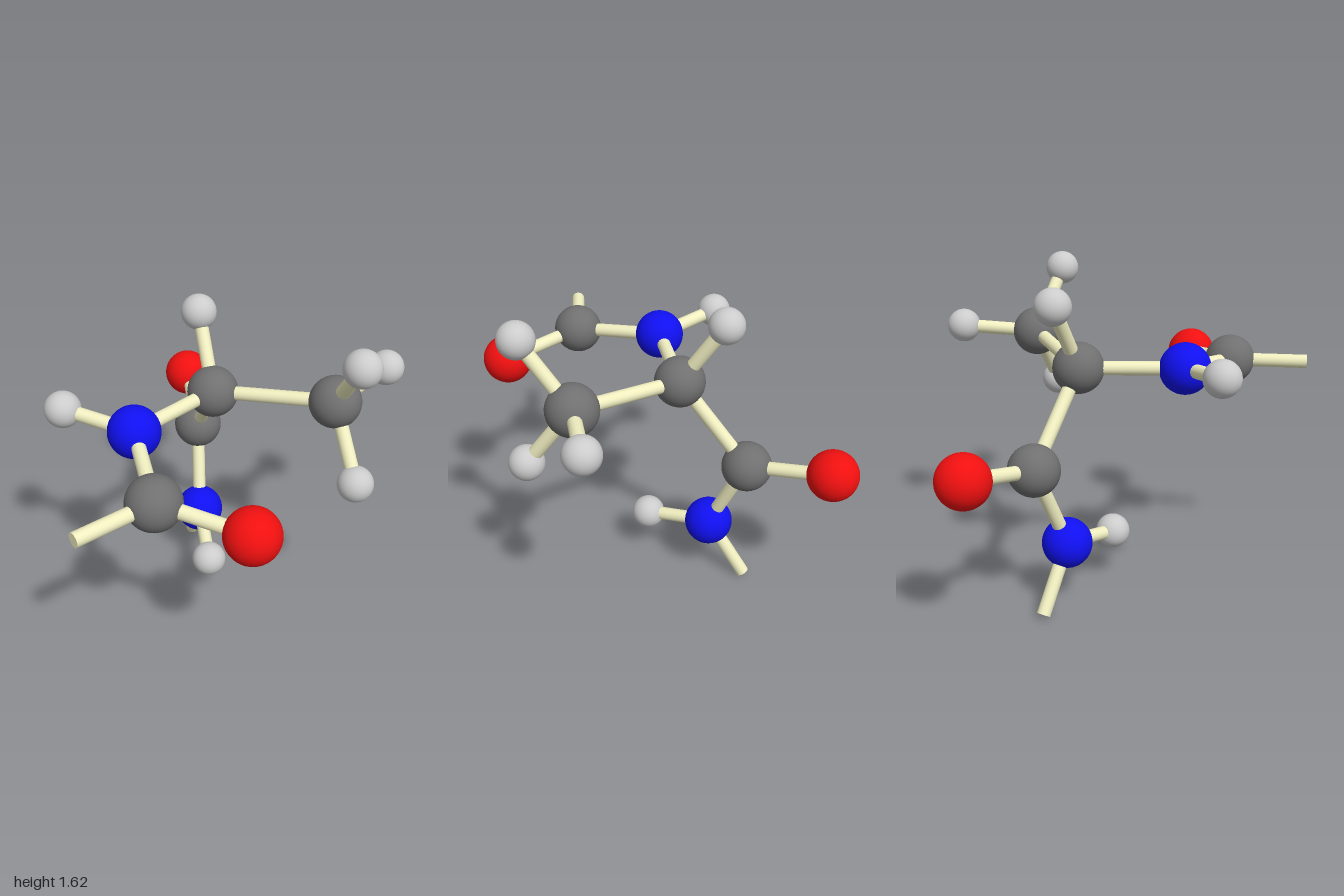
import * as THREE from 'three';

const BOND_RADIUS = 0.034;

// element: [sphere radius, colour]
const ELEMENTS = {
  carbon: [0.125, 0x707070],
  nitrogen: [0.124, 0x1010f0],
  oxygen: [0.125, 0xf01010],
  hydrogen: [0.087, 0xbfbfbf],
};

// name: [element, x, y, z]
const ATOMS = {
  centralCarbon: ['carbon', -0.08, 1.163, -0.1],
  centralHydrogen: ['hydrogen', -0.14, 1.488, -0.308],
  methylCarbon: ['carbon', 0.487, 1.222, 0.113],
  methylHydrogenTop: ['hydrogen', 0.551, 1.529, 0.35],
  methylHydrogenSide: ['hydrogen', 0.773, 1.246, -0.157],
  methylHydrogenBottom: ['hydrogen', 0.573, 0.906, 0.333],
  upperNitrogen: ['nitrogen', -0.444, 1.168, 0.251],
  upperHydrogen: ['hydrogen', -0.778, 1.21, 0.114],
  upperCarbon: ['carbon', -0.342, 1.119, 0.713],
  upperOxygen: ['oxygen', 0.06, 1.065, 0.874],
  lowerCarbon: ['carbon', -0.159, 0.752, -0.447],
  lowerOxygen: ['oxygen', -0.214, 0.829, -0.874],
  lowerNitrogen: ['nitrogen', -0.159, 0.323, -0.246],
  lowerHydrogen: ['hydrogen', -0.115, 0.262, 0.107],
};

const BONDS = [
  ['centralCarbon', 'centralHydrogen'],
  ['centralCarbon', 'methylCarbon'],
  ['methylCarbon', 'methylHydrogenTop'],
  ['methylCarbon', 'methylHydrogenSide'],
  ['methylCarbon', 'methylHydrogenBottom'],
  ['centralCarbon', 'upperNitrogen'],
  ['upperNitrogen', 'upperHydrogen'],
  ['upperNitrogen', 'upperCarbon'],
  ['upperCarbon', 'upperOxygen'],
  ['centralCarbon', 'lowerCarbon'],
  ['lowerCarbon', 'lowerOxygen'],
  ['lowerCarbon', 'lowerNitrogen'],
  ['lowerNitrogen', 'lowerHydrogen'],
];

// open bonds that end in the air
const STUBS = [
  ['upperCarbon', [-0.65, 1.124, 0.944]],
  ['lowerNitrogen', [-0.208, 0.019, -0.443]],
];

export function createModel() {
  const model = new THREE.Group();
  const bondMaterial = new THREE.MeshStandardMaterial({ color: 0xf0eec0 });
  const spheres = {};
  for (const [element, [radius, color]] of Object.entries(ELEMENTS)) {
    spheres[element] = {
      geometry: new THREE.SphereGeometry(radius, 40, 24),
      material: new THREE.MeshStandardMaterial({ color }),
    };
  }
  const positionOf = (name) => new THREE.Vector3(...ATOMS[name].slice(1));

  // capped cylinder between two points
  function addBond(name, from, to) {
    const direction = to.clone().sub(from);
    const length = direction.length();
    const bond = new THREE.Mesh(
      new THREE.CylinderGeometry(BOND_RADIUS, BOND_RADIUS, length, 24), bondMaterial);
    bond.position.copy(from).add(to).multiplyScalar(0.5);
    bond.quaternion.setFromUnitVectors(new THREE.Vector3(0, 1, 0), direction.normalize());
    bond.name = name;
    model.add(bond);
  }

  // atoms
  for (const [name, [element]] of Object.entries(ATOMS)) {
    const atom = new THREE.Mesh(spheres[element].geometry, spheres[element].material);
    atom.position.copy(positionOf(name));
    atom.name = name;
    model.add(atom);
  }

  // bonds
  for (const [a, b] of BONDS) addBond(`bond ${a} to ${b}`, positionOf(a), positionOf(b));
  for (const [a, end] of STUBS) addBond(`open bond ${a}`, positionOf(a), new THREE.Vector3(...end));

  return model;
}
